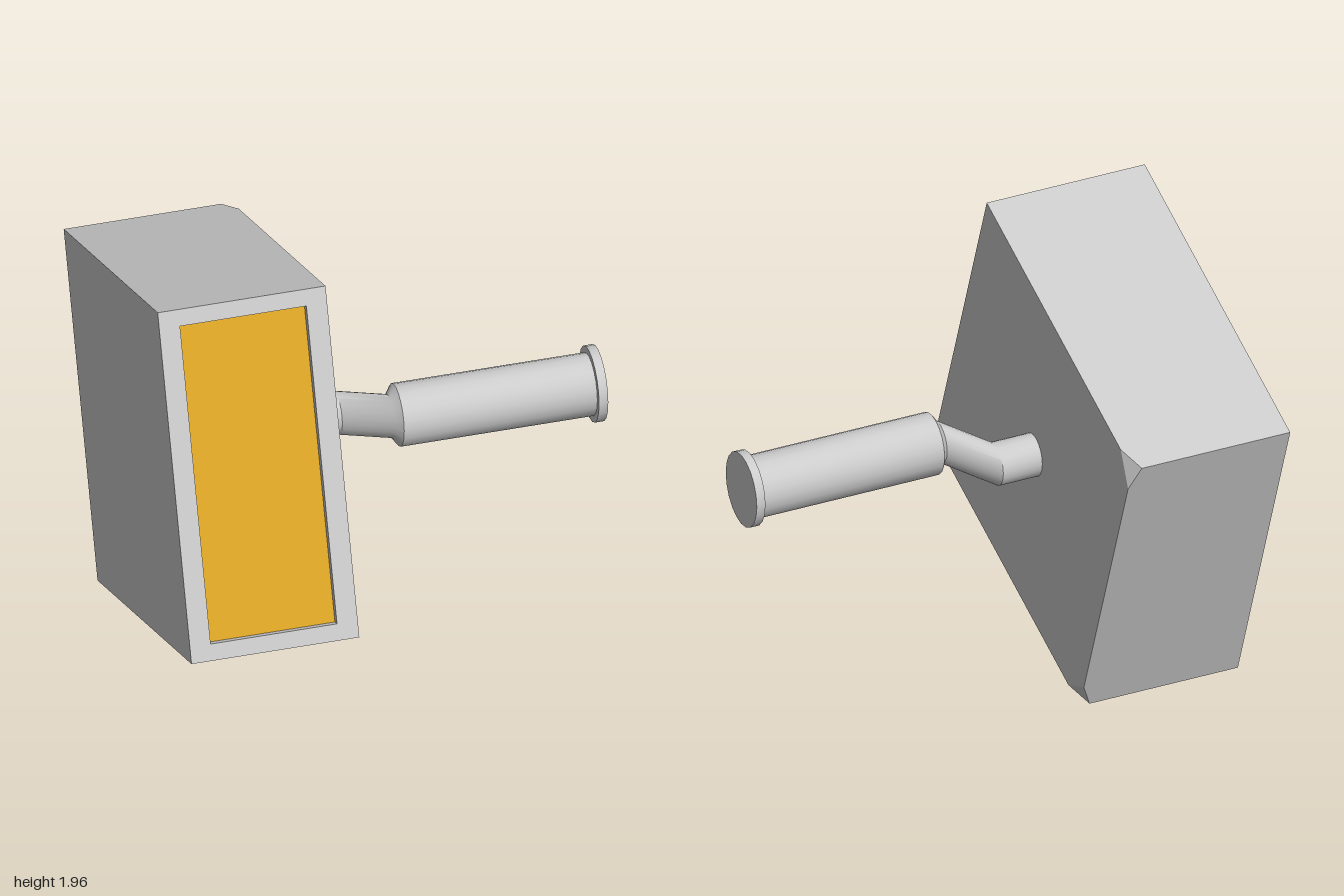
import * as THREE from 'three';
import { toCreasedNormals } from 'three/addons/utils/BufferGeometryUtils.js';
import { ConvexGeometry } from 'three/addons/geometries/ConvexGeometry.js';

const grey = new THREE.MeshStandardMaterial({ color: 0xcccccc });
const amber = new THREE.MeshStandardMaterial({ color: 0xe0a726 });

const HALF = 0.765;      // half side of the square block
const RECESS = 0.037;    // depth of the front recess
const X0 = -1, X1 = -0.27;
const HOLE = { x0: -0.91, x1: -0.36, h: 0.692 };

function add(parent, name, geometry, material = grey) {
  const mesh = new THREE.Mesh(geometry, material);
  mesh.name = name;
  parent.add(mesh);
  return mesh;
}

// Rectangle as a list of points
const rect = (x0, x1, h) =>
  [[x0, -h], [x1, -h], [x1, h], [x0, h]].map(([x, y]) => new THREE.Vector2(x, y));

// Solid block with the two back corners on the handle side cut off
function blockGeometry() {
  const cut = 0.12, cutX = 0.045, front = HALF - RECESS;
  const points = [];
  for (const s of [-1, 1]) {
    const y = s * HALF;
    points.push(
      [X0, y, front], [X1, y, front], [X0, y, -HALF],
      [X1 - cutX, y, -HALF], [X1, y - s * cut, -HALF], [X1, y, -HALF + cut]);
  }
  return new ConvexGeometry(points.map((p) => new THREE.Vector3(...p)));
}

// Frame around the recess
function frameGeometry() {
  const shape = new THREE.Shape(rect(X0, X1, HALF));
  shape.holes.push(new THREE.Path(rect(HOLE.x0, HOLE.x1, HOLE.h).reverse()));
  return new THREE.ExtrudeGeometry(shape, { depth: RECESS, bevelEnabled: false });
}

// Oval rings at constant x, joined in sequence; each ring is [x, y, z, radius]
function loftGeometry(rings, sides = 20, stretch = 1.09) {
  const positions = [], index = [];
  for (const [x, y, z, r] of rings) {
    for (let j = 0; j < sides; j++) {
      const a = (j / sides) * Math.PI * 2;
      positions.push(x, y + Math.cos(a) * r * stretch, z + Math.sin(a) * r);
    }
  }
  for (let i = 0; i < rings.length - 1; i++) {
    for (let j = 0; j < sides; j++) {
      const k = (j + 1) % sides;
      const a = i * sides + j, b = i * sides + k;
      index.push(a, b, a + sides, b, b + sides, a + sides);
    }
  }
  const geometry = new THREE.BufferGeometry();
  geometry.setAttribute('position', new THREE.Float32BufferAttribute(positions, 3));
  geometry.setIndex(index);
  return toCreasedNormals(geometry, 0.6);
}

export function createModel() {
  const model = new THREE.Group();
  model.name = 'model';

  // Square block, tilted back so its front looks slightly upward
  const head = new THREE.Group();
  head.name = 'head';
  head.position.y = 0.978;
  head.rotation.x = -THREE.MathUtils.degToRad(19.8);
  model.add(head);

  add(head, 'block', blockGeometry());
  add(head, 'frontFrame', frameGeometry()).position.z = HALF - RECESS;

  const panel = add(head, 'frontPanel',
    new THREE.PlaneGeometry(HOLE.x1 - HOLE.x0, 2 * HOLE.h), amber);
  panel.position.set((HOLE.x0 + HOLE.x1) / 2, 0, HALF - RECESS + 0.002);

  // Cranked side handle: neck, offset bend, grip and end flange
  const y = 1.04, z = 0.168;
  add(model, 'handle', loftGeometry([
    [-0.3, 0.979, -0.002, 0.088],
    [-0.09, 0.979, -0.002, 0.088],
    [0.09, y, z, 0.088],
    [0.12, y, z, 0.127],
    [0.96, y, z, 0.127],
    [0.96, y, z, 0.154],
    [1, y, z, 0.154],
    [1, y, z, 0],
  ]));

  return model;
}
